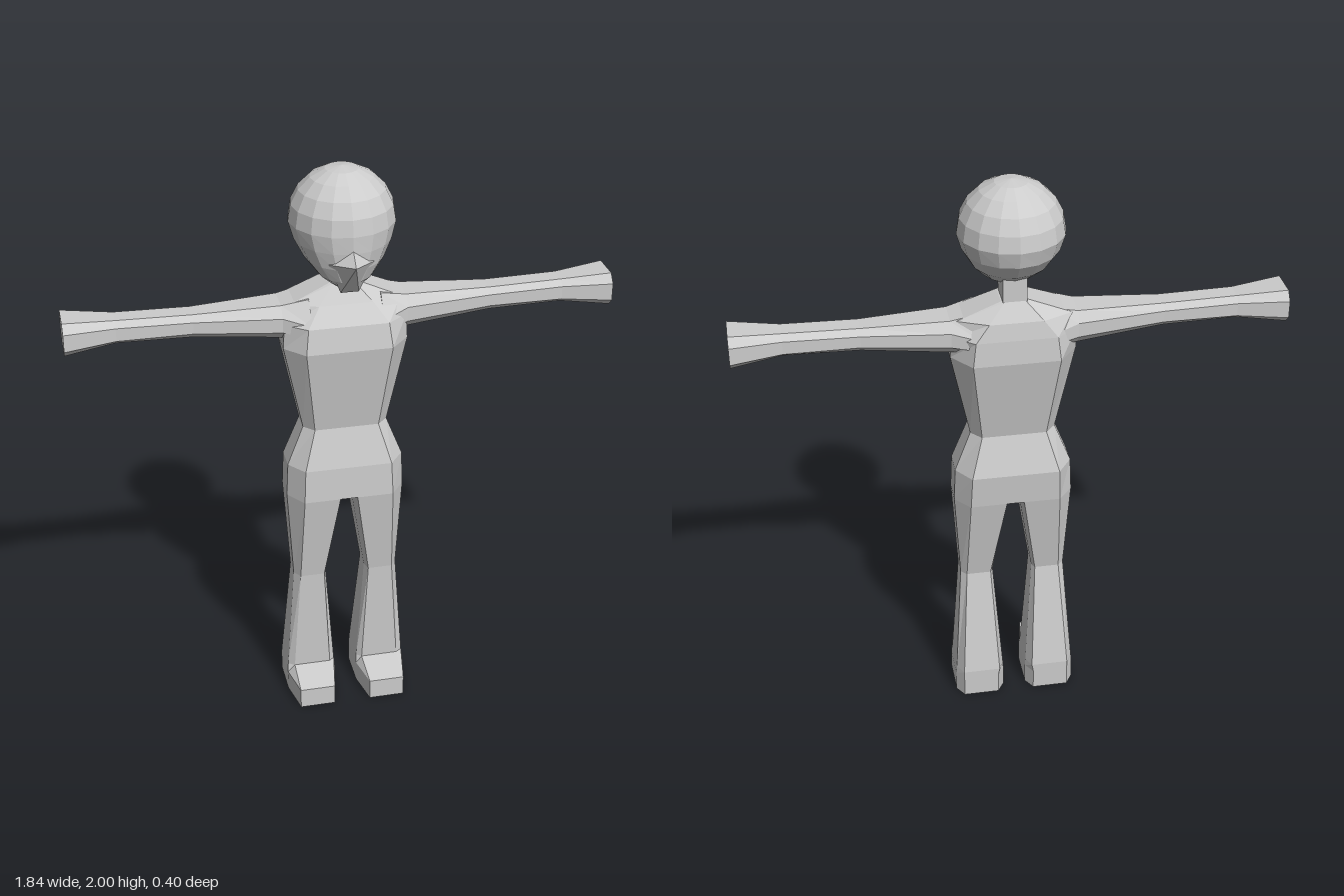
import * as THREE from 'three';
import { ConvexGeometry } from 'three/addons/geometries/ConvexGeometry.js';

// Eight-sided cross-section: [y, x0, x1, flatX0, flatX1, zFront, zSideFront, zSideBack, zBack]
function ringPoints([y, x0, x1, f0, f1, zf, zsf, zsb, zb]) {
  return [[x1, zsf], [x1, zsb], [f1, zb], [f0, zb], [x0, zsb], [x0, zsf], [f0, zf], [f1, zf]]
    .map(([x, z]) => [x, y, z]);
}

// Faceted skin through the cross-sections, listed bottom to top, with closed ends
function loft(rings) {
  const pts = rings.map(ringPoints), pos = [];
  const tri = (a, b, c) => pos.push(...a, ...b, ...c);
  for (let i = 0; i < pts.length - 1; i++) {
    for (let j = 0; j < 8; j++) {
      const k = (j + 1) % 8;
      tri(pts[i][j], pts[i][k], pts[i + 1][k]);
      tri(pts[i][j], pts[i + 1][k], pts[i + 1][j]);
    }
  }
  const low = pts[0], high = pts[pts.length - 1];
  for (let j = 1; j < 7; j++) {
    tri(low[0], low[j + 1], low[j]);
    tri(high[0], high[j], high[j + 1]);
  }
  const g = new THREE.BufferGeometry();
  g.setAttribute('position', new THREE.Float32BufferAttribute(pos, 3));
  g.computeVertexNormals();
  return g;
}

const mirror = (rings) => rings.map(([y, x0, x1, f0, f1, ...z]) => [y, -x1, -x0, -f1, -f0, ...z]);
const sym = (y, half, flat, ...z) => [y, -half, half, -flat, flat, ...z];

export function createModel() {
  const model = new THREE.Group();
  model.name = 'figure';
  const clay = new THREE.MeshStandardMaterial({ color: 0xcccccc });
  clay.name = 'light grey';
  const add = (name, geometry) => {
    const mesh = new THREE.Mesh(geometry, clay);
    mesh.name = name;
    model.add(mesh);
  };

  // Torso from hips to collar
  add('torso', loft([
    sym(0.83, 0.205, 0.155, 0.10, 0.03, -0.06, -0.12),
    sym(0.95, 0.20, 0.15, 0.095, 0.03, -0.06, -0.13),
    sym(1.09, 0.145, 0.11, 0.06, 0.025, -0.05, -0.09),
    sym(1.40, 0.21, 0.145, 0.11, 0.04, -0.065, -0.15),
    sym(1.485, 0.205, 0.135, 0.095, 0.04, -0.09, -0.145),
    sym(1.545, 0.19, 0.09, 0.05, 0.02, -0.09, -0.135),
    sym(1.605, 0.045, 0.035, 0.01, 0, -0.09, -0.10),
  ]));

  // Neck
  add('neck', new THREE.BoxGeometry(0.08, 0.13, 0.1).toNonIndexed().translate(0, 1.645, -0.05));

  // Legs with built-in feet
  const leg = [
    [0, 0.04, 0.215, 0.065, 0.19, 0.16, 0.04, -0.09, -0.13],
    [0.075, 0.04, 0.215, 0.065, 0.19, 0.16, 0.04, -0.09, -0.13],
    [0.105, 0.042, 0.212, 0.06, 0.19, 0.045, 0.03, -0.09, -0.13],
    [0.50, 0.07, 0.185, 0.08, 0.165, 0.055, 0.025, -0.04, -0.06],
    [0.83, 0.02, 0.205, 0.03, 0.155, 0.10, 0.03, -0.06, -0.12],
  ];
  add('leftLeg', loft(leg));
  add('rightLeg', loft(mirror(leg)));

  // Arms, lofted upright and then turned sideways
  const arm = [
    [0.12, -1.565, -1.43, -1.49, -1.45, 0.085, 0.03, -0.09, -0.135],
    [0.21, -1.545, -1.43, -1.51, -1.46, 0.045, 0.015, -0.085, -0.11],
    [0.50, -1.535, -1.455, -1.515, -1.475, 0.02, 0.0, -0.065, -0.085],
    [0.75, -1.54, -1.46, -1.52, -1.475, 0.02, 0.0, -0.065, -0.085],
    [0.92, -1.555, -1.44, -1.525, -1.465, 0.045, 0.02, -0.085, -0.11],
  ];
  add('leftArm', loft(arm).rotateZ(-Math.PI / 2));
  add('rightArm', loft(mirror(arm)).rotateZ(Math.PI / 2));

  // Head: a faceted ball whose lower half narrows and slides forward into a jaw
  const r = 0.177;
  const ball = new THREE.SphereGeometry(r, 16, 10);
  const p = ball.attributes.position;
  for (let i = 0; i < p.count; i++) {
    const t = Math.max(0, -p.getY(i) / r);
    p.setXYZ(i, p.getX(i) * (1 - 0.15 * t), p.getY(i) - 0.03 * t * t, p.getZ(i) + 0.08 * t * t);
  }
  const head = ball.toNonIndexed().translate(0, 1.823, -0.022);
  head.computeVertexNormals();
  add('head', head);

  // Pointed beak running down to the chin
  add('beak', new ConvexGeometry([
    [0, 1.785, 0.145], [0.075, 1.725, 0.125], [-0.075, 1.725, 0.125], [0, 1.735, 0.197],
    [0.03, 1.612, 0.1], [-0.03, 1.612, 0.1], [0, 1.68, 0.03],
  ].map((v) => new THREE.Vector3(...v))));

  return model;
}
